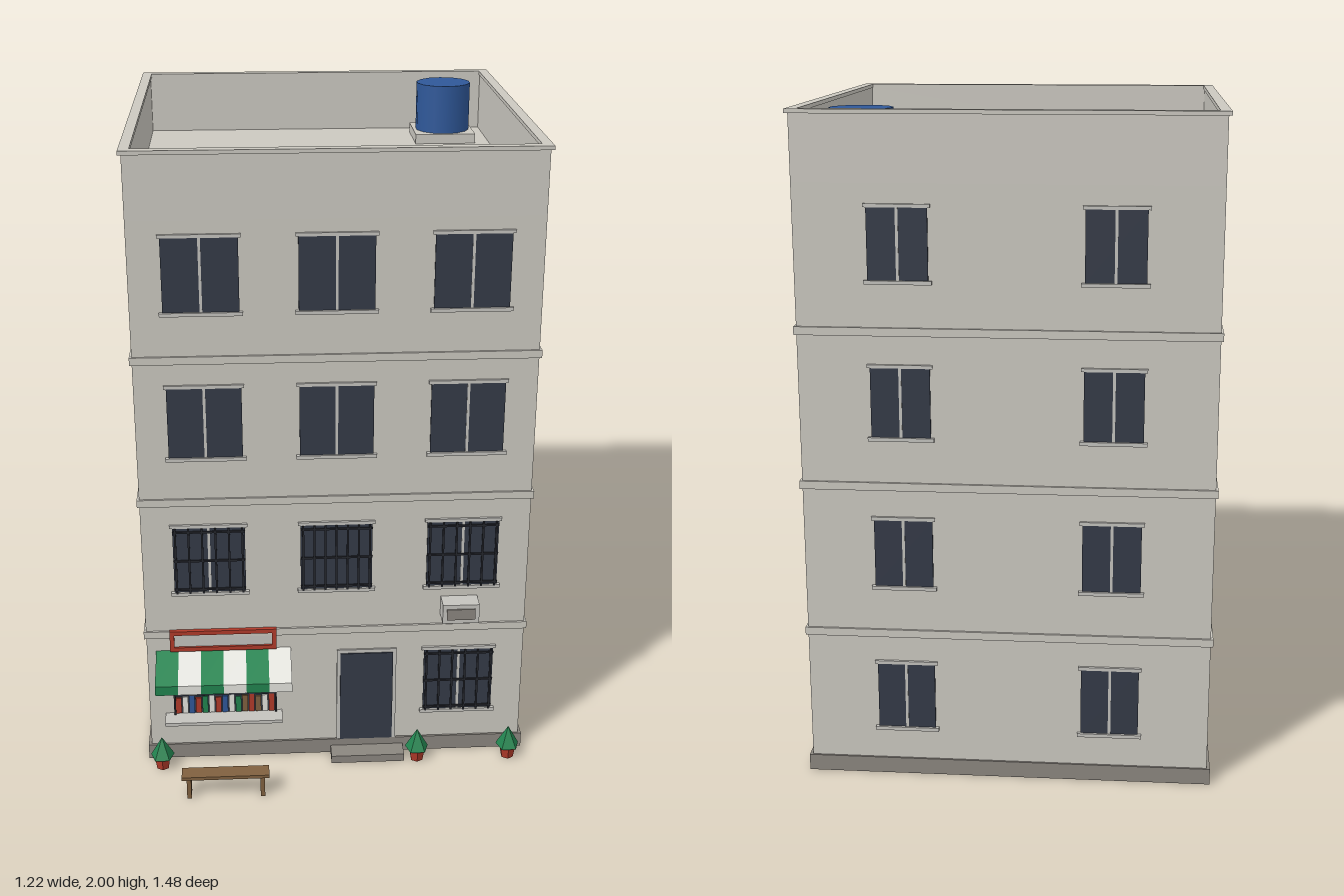
import * as THREE from 'three';

const colours = {
  wall: 0xcbc8c0, plinth: 0x8b867f, glass: 0x343a47, bars: 0x24262c, red: 0xb03a2a,
  green: 0x22834f, white: 0xe4e4de, blue: 0x2f5899, wood: 0x80603f, trim: 0xc4c3be,
};
const M = {};
for (const [name, color] of Object.entries(colours)) {
  M[name] = new THREE.MeshStandardMaterial({ color });
  M[name].name = name;
}
const awningMats = {};

// Box given by its limits on each axis
function box(parent, name, mat, x0, x1, y0, y1, z0, z1) {
  const m = new THREE.Mesh(new THREE.BoxGeometry(x1 - x0, y1 - y0, z1 - z0), mat);
  m.position.set((x0 + x1) / 2, (y0 + y1) / 2, (z0 + z1) / 2);
  m.name = name;
  parent.add(m);
  return m;
}

// Rectangular ring lying flat, from y0 to y1
function ring(parent, name, mat, out, inn, y0, y1) {
  const rect = (C, [x, zb, zf]) => {
    const s = new C();
    s.moveTo(-x, -zf); s.lineTo(x, -zf); s.lineTo(x, -zb); s.lineTo(-x, -zb); s.closePath();
    return s;
  };
  const shape = rect(THREE.Shape, out);
  shape.holes.push(rect(THREE.Path, inn));
  const m = new THREE.Mesh(new THREE.ExtrudeGeometry(shape, { depth: y1 - y0, bevelEnabled: false }), mat);
  m.rotation.x = -Math.PI / 2;
  m.position.y = y0;
  m.name = name;
  parent.add(m);
}

// Window in its own plane, z pointing out of the wall, y = 0 at the bottom of the glass
function makeWindow(w, h, grille = 0, mullion = true) {
  const g = new THREE.Group();
  g.name = 'window';
  const a = w / 2;
  box(g, 'pane', M.glass, -a, a, 0, h, -0.005, 0.005);
  if (mullion) box(g, 'mullion', M.trim, -0.004, 0.004, 0, h, -0.005, 0.007);
  box(g, 'sill', M.trim, -a - 0.01, a + 0.01, -0.011, 0, -0.005, 0.012);
  box(g, 'lintel', M.trim, -a - 0.008, a + 0.008, h, h + 0.01, -0.005, 0.008);
  // security grille
  for (let i = 0; i < grille; i++) {
    const x = -a + 0.008 + (w - 0.016) * i / (grille - 1);
    box(g, 'grilleBar', M.bars, x - 0.003, x + 0.003, -0.002, h, 0.009, 0.014);
  }
  if (grille) for (const y of [0.012, h / 2, h - 0.012])
    box(g, 'grilleRail', M.bars, -a, a, y - 0.003, y + 0.003, 0.008, 0.013);
  return g;
}

function createModel() {
  const root = new THREE.Group();
  root.name = 'building';
  const X = 0.6, B = -0.73, F = 0.505;

  // Body, plinth, floor bands and parapet
  box(root, 'body', M.wall, -X, X, 0.05, 1.8, B, F);
  box(root, 'plinth', M.plinth, -0.61, 0.61, 0, 0.05, B - 0.006, F + 0.007);
  for (const y of [0.46, 0.92, 1.38])
    ring(root, 'floorBand', M.wall, [X + 0.007, B - 0.007, F + 0.007], [X - 0.01, B + 0.01, F - 0.01], y - 0.012, y + 0.012);
  ring(root, 'parapet', M.wall, [X, B, F], [0.582, -0.712, 0.487], 1.8, 1.988);
  ring(root, 'coping', M.wall, [0.609, -0.739, 0.513], [0.578, -0.708, 0.482], 1.988, 2);

  // Windows on all four sides
  const place = (win, x, y, z, ry) => {
    win.position.set(x, y, z);
    win.rotation.y = ry;
    root.add(win);
  };
  [0.156, 0.612, 1.07, 1.528].forEach((y, floor) => {
    for (const x of [-0.393, 0, 0.393]) {
      if (floor === 0 && x < 0.3) continue;
      const grille = floor < 2 ? (x === 0 ? 7 : 6) : 0;
      place(makeWindow(0.222, 0.222, grille, !(floor === 1 && x === 0)), x, y, F, 0);
    }
    for (const z of [0.197, -0.413]) for (const s of [-1, 1])
      place(makeWindow(0.172, 0.205), s * X, y, z, s * Math.PI / 2);
    for (const x of [-0.305, 0.305]) place(makeWindow(0.172, 0.205), x, y, B, Math.PI);
  });

  // Door and step
  box(root, 'doorFrame', M.trim, 0.002, 0.193, 0.05, 0.386, F - 0.01, F + 0.006);
  box(root, 'door', M.glass, 0.013, 0.182, 0.052, 0.374, F - 0.01, F + 0.01);
  box(root, 'step', M.plinth, -0.018, 0.218, 0, 0.026, F, 0.573);

  // Shop window with two rows of goods
  const shop = new THREE.Group();
  shop.name = 'shop';
  root.add(shop);
  box(shop, 'shopGlass', M.glass, -0.522, -0.192, 0.168, 0.36, F - 0.005, F + 0.004);
  box(shop, 'shopSill', M.trim, -0.55, -0.175, 0.156, 0.167, F, 0.566);
  box(shop, 'shopShelf', M.glass, -0.522, -0.192, 0.236, 0.262, F, F + 0.012);
  const goods = ['red', 'white', 'blue', 'red', 'green', 'white', 'red', 'blue', 'white', 'green', 'wood', 'red', 'wood', 'white', 'red'];
  for (let row = 0; row < 2; row++) goods.forEach((c, i) => {
    const x = -0.516 + i * 0.0213, y = row ? 0.262 : 0.17;
    const col = goods[(i + row * 3) % goods.length];
    box(shop, 'goods', M[col], x, x + 0.018, y, y + 0.056 + 0.008 * ((i * 7) % 3) / 2, F, F + 0.009);
  });
  for (const x of [-0.522, -0.198])
    box(shop, 'shopFrame', M.bars, x, x + 0.006, 0.168, 0.36, F, F + 0.014);

  // Sign board with red border
  box(shop, 'signPanel', M.trim, -0.52, -0.195, 0.41, 0.47, F, F + 0.007);
  for (const y of [0.403, 0.461]) box(shop, 'signBorder', M.red, -0.526, -0.19, y, y + 0.014, F, F + 0.014);
  for (const x of [-0.526, -0.204]) box(shop, 'signBorder', M.red, x, x + 0.014, 0.417, 0.461, F, F + 0.014);

  // Striped awning: sloping cloth with a hanging valance
  const profile = new THREE.Shape();
  [[F, 0.4], [0.636, 0.35], [0.636, 0.318], [0.632, 0.318], [0.632, 0.346], [F, 0.395]]
    .forEach(([z, y], i) => (i ? profile.lineTo(-z, y) : profile.moveTo(-z, y)));
  const stripeGeo = new THREE.ExtrudeGeometry(profile, { depth: 0.071, bevelEnabled: false });
  for (let i = 0; i < 6; i++) {
    const stripe = new THREE.Mesh(stripeGeo, i % 2 ? M.white : M.green);
    stripe.rotation.y = Math.PI / 2;
    stripe.position.x = -0.571 + i * 0.071;
    stripe.name = 'awningStripe';
    shop.add(stripe);
  }

  // Air conditioner
  box(root, 'airConditioner', M.trim, 0.33, 0.445, 0.505, 0.57, F, 0.566);
  box(root, 'airConditionerGrille', M.plinth, 0.343, 0.432, 0.519, 0.556, 0.56, 0.57);

  // Water tank on its pad
  box(root, 'tankPad', M.wall, 0.328, 0.532, 1.8, 1.832, -0.645, -0.445);
  const tank = new THREE.Mesh(new THREE.CylinderGeometry(0.092, 0.092, 0.16, 14), M.blue);
  tank.position.set(0.43, 1.912, -0.545);
  tank.name = 'waterTank';
  root.add(tank);

  // Potted trees
  const flat = (geo) => { const g = geo.toNonIndexed(); g.computeVertexNormals(); return g; };
  const potGeo = flat(new THREE.CylinderGeometry(0.028, 0.021, 0.044, 6));
  const leafGeo = flat(new THREE.ConeGeometry(0.039, 0.07, 5));
  for (const x of [-0.563, 0.26, 0.557]) {
    const tree = new THREE.Group();
    tree.name = 'pottedTree';
    const pot = new THREE.Mesh(potGeo, M.red), leaf = new THREE.Mesh(leafGeo, M.green);
    pot.name = 'pot'; leaf.name = 'foliage';
    pot.position.y = 0.022;
    leaf.position.y = 0.077;
    leaf.rotation.y = Math.PI;
    tree.add(pot, leaf);
    tree.position.set(x, 0, 0.56);
    root.add(tree);
  }

  // Bench
  const bench = new THREE.Group();
  bench.name = 'bench';
  root.add(bench);
  box(bench, 'seat', M.wood, -0.495, -0.222, 0.07, 0.081, 0.684, 0.736);
  for (const x of [-0.48, -0.25]) box(bench, 'benchLeg', M.wood, x, x + 0.014, 0, 0.07, 0.688, 0.732);
  return root;
}

export { createModel };
